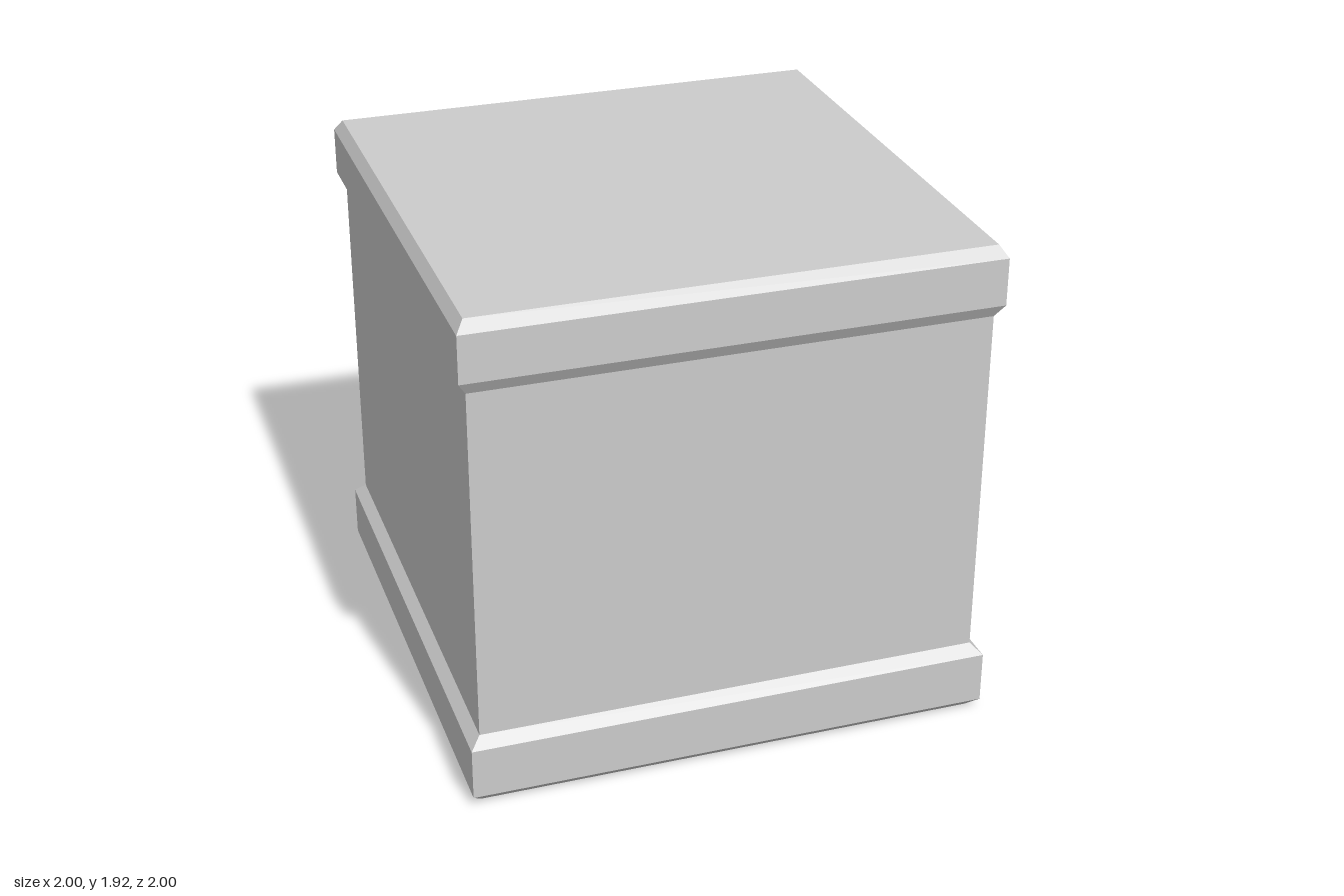
import * as THREE from 'three';

const material = new THREE.MeshStandardMaterial({ color: 0xcccccc, flatShading: true });

// Square part swept from a profile of [half width, height], listed bottom to top
function squarePart(name, profile) {
  const points = profile.map(([half, y]) => new THREE.Vector2(half * Math.SQRT2, y));
  const geometry = new THREE.LatheGeometry(points, 4, Math.PI / 4).toNonIndexed();
  geometry.computeVertexNormals();
  const mesh = new THREE.Mesh(geometry, material);
  mesh.name = name;
  return mesh;
}

export function createModel() {
  const model = new THREE.Group();
  model.name = 'pedestalBlock';
  model.add(
    // Base slab, chamfered below and above
    squarePart('plinth', [[0, 0], [0.96, 0], [1, 0.04], [1, 0.24], [0.96, 0.28]]),
    // Plain square shaft
    squarePart('body', [[0.96, 0.28], [0.96, 1.65]]),
    // Overhanging top slab with chamfered edges
    squarePart('cap', [[0.96, 1.65], [0.99, 1.7], [0.99, 1.88], [0.96, 1.925], [0, 1.925]]),
  );
  return model;
}
